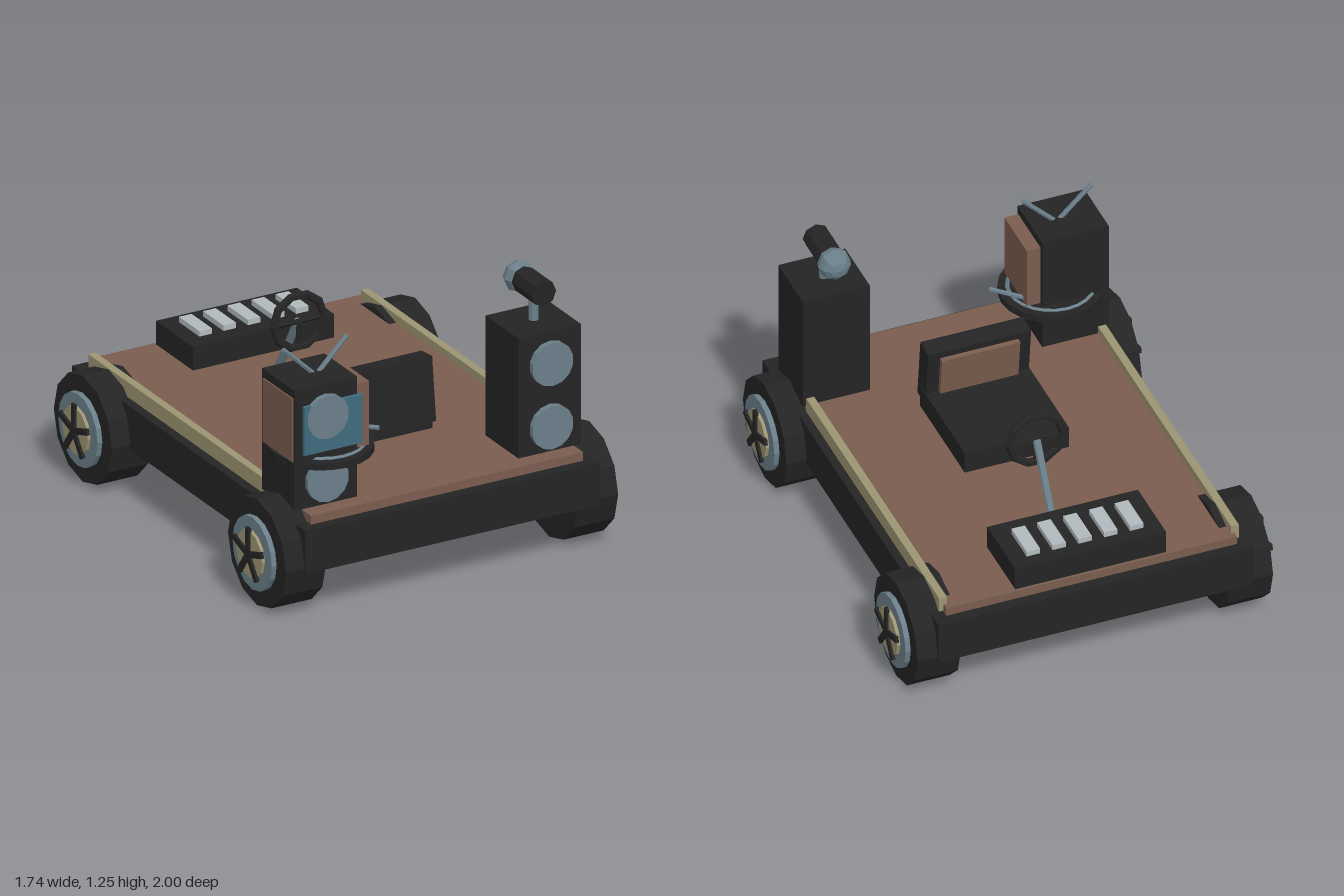
import * as THREE from 'three';

const mat = (name, color) => {
  const m = new THREE.MeshStandardMaterial({ color, flatShading: true });
  m.name = name;
  return m;
};

export function createModel() {
  const root = new THREE.Group();
  root.name = 'stageCart';
  const black = mat('black', 0x242424);
  const brown = mat('brown', 0x7a5c4e);
  const steel = mat('steel', 0x6b7f8a);
  const tan = mat('tan', 0x9c9472);
  const pale = mat('paleGrey', 0xb0b9bc);
  const glass = mat('screenBlue', 0x3f6c7e);

  const add = (name, geo, material, x = 0, y = 0, z = 0, parent = root) => {
    const m = new THREE.Mesh(geo, material);
    m.name = name;
    m.position.set(x, y, z);
    parent.add(m);
    return m;
  };
  // box given by its min and max on each axis
  const box = (name, material, x0, x1, y0, y1, z0, z1, parent = root) =>
    add(name, new THREE.BoxGeometry(x1 - x0, y1 - y0, z1 - z0), material,
      (x0 + x1) / 2, (y0 + y1) / 2, (z0 + z1) / 2, parent);
  // straight rod between two points
  const rod = (name, material, a, b, r, sides = 6, parent = root) => {
    const p = new THREE.Vector3(...a), q = new THREE.Vector3(...b);
    const d = q.clone().sub(p);
    const m = add(name, new THREE.CylinderGeometry(r, r, d.length(), sides), material, 0, 0, 0, parent);
    m.position.copy(p).add(q).multiplyScalar(0.5);
    m.quaternion.setFromUnitVectors(new THREE.Vector3(0, 1, 0), d.normalize());
    return m;
  };

  // chassis, deck and side rails
  box('chassis', black, -0.725, 0.725, 0.225, 0.425, -1, 1);
  box('deck', brown, -0.67, 0.67, 0.42, 0.465, -0.95, 0.95);
  for (const s of [-1, 1]) {
    add('sideRail', new THREE.BoxGeometry(0.036, 0.07, 1.62), tan, s * 0.672, 0.467, -0.11);
  }

  // wheels, with the outer face along local +x
  const disc = (r, x0, x1, sides) =>
    new THREE.CylinderGeometry(r, r, x1 - x0, sides).rotateZ(Math.PI / 2).translate((x0 + x1) / 2, 0, 0);
  for (const side of [-1, 1]) {
    for (const z of [-0.745, 0.745]) {
      const wheel = new THREE.Group();
      wheel.name = 'wheel';
      wheel.position.set(0, 0.25, z);
      if (side < 0) wheel.rotation.y = Math.PI;
      add('tire', disc(0.248, 0.62, 0.818, 12), black, 0, 0, 0, wheel);
      add('rim', disc(0.168, 0.8, 0.842, 16), steel, 0, 0, 0, wheel);
      add('hub', disc(0.11, 0.83, 0.857, 12), tan, 0, 0, 0, wheel);
      for (let i = 0; i < 5; i++) {
        const spoke = new THREE.BoxGeometry(0.015, 0.125, 0.028);
        spoke.translate(0.861, 0.0625, 0).rotateX((i * Math.PI * 2) / 5);
        add('spoke', spoke, black, 0, 0, 0, wheel);
      }
      root.add(wheel);
    }
  }

  // speaker towers with two round cones each
  for (const s of [-1, 1]) {
    add('speakerTower', new THREE.BoxGeometry(0.308, 0.565, 0.28), black, s * 0.551, 0.743, 0.73);
    for (const y of [0.585, 0.88]) {
      add('speakerCone', new THREE.CylinderGeometry(0.102, 0.102, 0.03, 14).rotateX(Math.PI / 2),
        steel, s * 0.553, y, 0.88);
    }
  }

  // television set around the right tower
  box('televisionCase', brown, -0.712, -0.333, 0.69, 0.987, 0.608, 0.862);
  box('televisionScreen', glass, -0.667, -0.38, 0.72, 0.945, 0.855, 0.888);
  rod('antenna', steel, [-0.53, 1.015, 0.73], [-0.68, 1.16, 0.73], 0.011);
  rod('antenna', steel, [-0.51, 1.015, 0.73], [-0.365, 1.16, 0.73], 0.011);

  // turntable around the right tower
  add('turntable', new THREE.CylinderGeometry(0.23, 0.23, 0.032, 20), black, -0.49, 0.667, 0.72);
  add('turntableRing', new THREE.TorusGeometry(0.188, 0.009, 4, 24).rotateX(Math.PI / 2),
    steel, -0.49, 0.686, 0.72);
  rod('toneArm', steel, [-0.36, 0.705, 0.63], [-0.225, 0.705, 0.76], 0.011);

  // microphone on the left tower
  rod('microphoneStand', steel, [0.555, 1.02, 0.725], [0.555, 1.14, 0.725], 0.022, 8);
  add('microphoneBody', new THREE.CylinderGeometry(0.06, 0.06, 0.2, 8).rotateX(Math.PI / 2),
    black, 0.555, 1.18, 0.715);
  add('microphoneHead', new THREE.SphereGeometry(0.074, 8, 6).rotateX(Math.PI / 2).scale(1, 1, 0.88),
    steel, 0.555, 1.18, 0.605);

  // seat with a leaning backrest
  box('seatCushion', black, -0.24, 0.24, 0.46, 0.57, -0.1, 0.41);
  const back = new THREE.Group();
  back.name = 'backrest';
  back.position.set(0, 0.652, 0.383);
  back.rotation.x = -0.115;
  box('backrestFrame', black, -0.237, 0.237, -0.147, 0.147, -0.045, 0.045, back);
  box('backrestPad', brown, -0.18, 0.18, -0.095, 0.115, -0.067, -0.04, back);
  root.add(back);

  // steering wheel and column
  const steering = new THREE.Group();
  steering.name = 'steeringWheel';
  steering.position.set(0, 0.735, -0.32);
  add('steeringRim', new THREE.TorusGeometry(0.124, 0.019, 6, 10), black, 0, 0, 0, steering);
  for (const a of [0, Math.PI, -Math.PI / 2]) {
    rod('steeringSpoke', black, [0, 0, 0], [0.122 * Math.cos(a), 0.122 * Math.sin(a), 0], 0.012, 5, steering);
  }
  root.add(steering);
  rod('steeringColumn', steel, [0, 0.735, -0.325], [0, 0.455, -0.49], 0.018, 8);

  // keyboard with five keys
  box('keyboardBody', black, -0.347, 0.347, 0.46, 0.575, -0.937, -0.62);
  for (let i = -2; i <= 2; i++) {
    add('key', new THREE.BoxGeometry(0.062, 0.04, 0.175), pale, i * 0.119, 0.58, -0.788);
  }

  return root;
}
